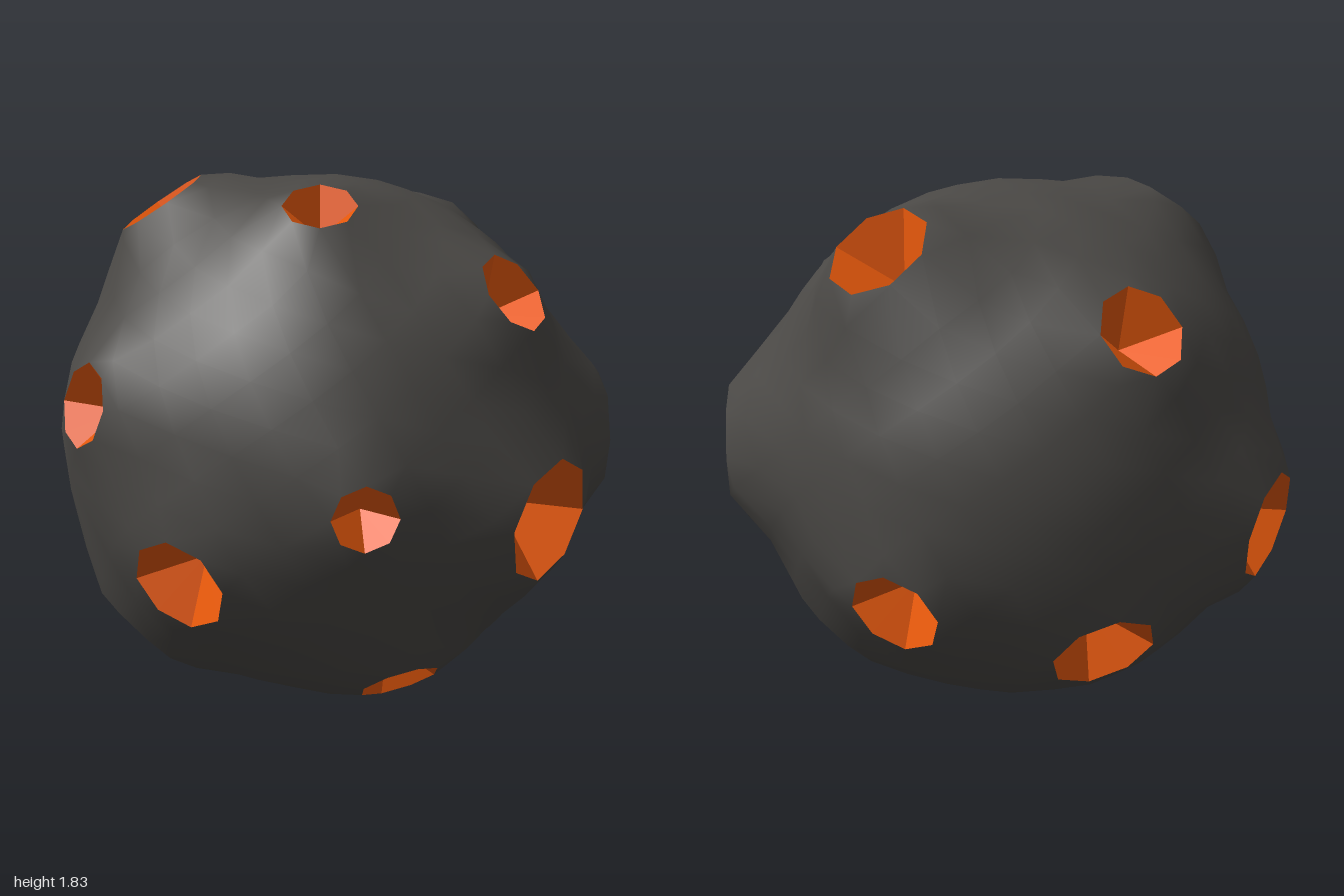
import * as THREE from 'three';
import { ConvexGeometry } from 'three/addons/geometries/ConvexGeometry.js';
import { mergeVertices } from 'three/addons/utils/BufferGeometryUtils.js';

const CENTRE_Y = 0.92, BASE = 0.918, SLOPE = 0.26, SIDES = 8;

// Crater mouths: x, y, z of the mouth centre, mouth radius
const CRATERS = [
  [-0.41, 1.74, 0.38, 0.165], [0.27, 1.73, 0.47, 0.12], [0.80, 1.46, 0.16, 0.14],
  [-0.38, 1.10, 0.86, 0.14], [0.59, 0.82, 0.75, 0.105], [0.00, 0.565, 0.88, 0.165],
  [0.945, 0.74, 0.17, 0.21], [0.855, 0.92, -0.53, 0.21], [-0.45, 0.26, 0.52, 0.18],
  [0.47, 0.145, 0.28, 0.14], [0.48, 0.26, -0.46, 0.18], [0.13, 1.65, -0.70, 0.175],
  [-0.65, 1.42, -0.46, 0.15], [0.00, 0.54, -0.87, 0.155], [-0.56, 0.37, -0.50, 0.18],
  [-0.45, 0.12, 0.00, 0.14], [-0.965, 0.73, -0.06, 0.19],
].map(([x, y, z, radius]) => {
  const centre = new THREE.Vector3(x, y - CENTRE_Y, z);
  const dir = centre.clone().normalize();
  const u = new THREE.Vector3(0, 1, 0).cross(dir).normalize();
  const v = dir.clone().cross(u);
  const rim = Array.from({ length: SIDES }, (_, i) => {
    const a = (i / SIDES) * Math.PI * 2;
    return centre.clone().addScaledVector(u, radius * Math.cos(a)).addScaledVector(v, radius * Math.sin(a));
  });
  return { centre, dir, radius, rim, angle: Math.atan(radius / centre.length()), height: Math.hypot(centre.length(), radius) };
});

// Ground level in one direction: a ball that swells towards each crater rim
function surfaceRadius(d) {
  let r = BASE;
  for (const c of CRATERS) {
    const t = (d.angleTo(c.dir) - c.angle) / SLOPE;
    const fall = 1 - THREE.MathUtils.smoothstep(t, 0, 1);
    r = Math.max(r, BASE + (c.height - BASE) * fall);
  }
  return r;
}

// Rock skin: evenly spread points plus the rims, with the mouths left open
function makeBody() {
  const points = [];
  const count = 460;
  for (let i = 0; i < count; i++) {
    const y = 1 - (2 * (i + 0.5)) / count, a = i * Math.PI * (3 - Math.sqrt(5));
    const s = Math.sqrt(1 - y * y);
    const p = new THREE.Vector3(s * Math.cos(a), y, s * Math.sin(a));
    if (CRATERS.every((c) => p.angleTo(c.dir) > c.angle + 0.05)) points.push(p);
  }
  for (const c of CRATERS) points.push(c.dir.clone(), ...c.rim.map((p) => p.clone().normalize()));

  const hull = new ConvexGeometry(points);
  hull.deleteAttribute('normal');
  const geometry = mergeVertices(hull, 1e-4);
  const pos = geometry.attributes.position;
  const isMouth = [];
  const p = new THREE.Vector3();
  for (let i = 0; i < pos.count; i++) {
    p.fromBufferAttribute(pos, i).normalize();
    isMouth.push(CRATERS.some((c) => c.dir.dot(p) > 0.9999));
    p.multiplyScalar(surfaceRadius(p));
    pos.setXYZ(i, p.x, p.y, p.z);
  }
  const kept = [];
  const index = geometry.index.array;
  for (let i = 0; i < index.length; i += 3) {
    const tri = [index[i], index[i + 1], index[i + 2]];
    if (!tri.some((k) => isMouth[k])) kept.push(...tri);
  }
  geometry.setIndex(kept);
  geometry.computeVertexNormals();
  return geometry;
}

// Pit: eight-sided hollow point, shaded as four facets
function makePit({ centre, dir, radius, rim }) {
  const apex = centre.clone().addScaledVector(dir, -radius);
  const positions = [], normals = [];
  for (let i = 0; i < SIDES; i++) {
    const q = i - (i % 2);
    const normal = new THREE.Triangle(apex, rim[q], rim[(q + 2) % SIDES]).getNormal(new THREE.Vector3());
    for (const p of [apex, rim[i], rim[(i + 1) % SIDES]]) {
      positions.push(p.x, p.y, p.z);
      normals.push(normal.x, normal.y, normal.z);
    }
  }
  const geometry = new THREE.BufferGeometry();
  geometry.setAttribute('position', new THREE.Float32BufferAttribute(positions, 3));
  geometry.setAttribute('normal', new THREE.Float32BufferAttribute(normals, 3));
  return geometry;
}

export function createModel() {
  const group = new THREE.Group();
  group.name = 'crateredRock';
  const rock = new THREE.MeshStandardMaterial({ color: 0x4a4845, side: THREE.DoubleSide });
  const glow = new THREE.MeshStandardMaterial({ color: 0xe8590c, side: THREE.DoubleSide });

  const add = (name, geometry, material) => {
    const mesh = new THREE.Mesh(geometry, material);
    mesh.name = name;
    mesh.position.y = CENTRE_Y;
    group.add(mesh);
  };
  add('rockBody', makeBody(), rock);
  CRATERS.forEach((c, i) => add(`craterPit${i + 1}`, makePit(c), glow));
  return group;
}
